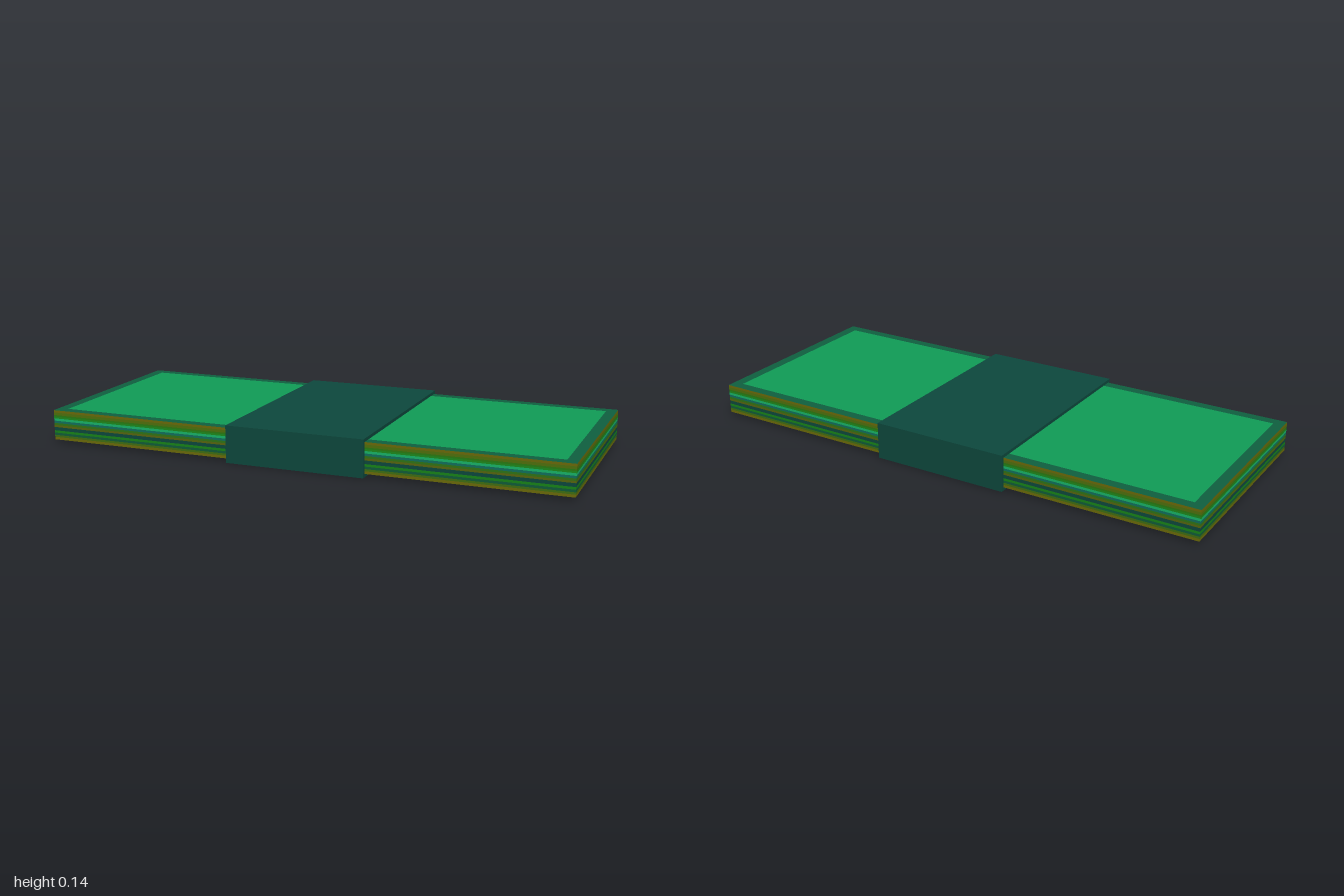
import * as THREE from 'three';

const mat = (color) => new THREE.MeshStandardMaterial({ color });

function add(group, name, geometry, material) {
  const mesh = new THREE.Mesh(geometry, material);
  mesh.name = name;
  group.add(mesh);
  return mesh;
}

// Four upright walls of a rectangular block, without top and bottom
function walls(width, height, depth) {
  const g = new THREE.CylinderGeometry(Math.SQRT1_2, Math.SQRT1_2, height, 4, 1, true, Math.PI / 4).toNonIndexed();
  g.scale(width, 1, depth);
  g.computeVertexNormals();
  return g;
}

function rectangle(PathType, w, d) {
  return new PathType().moveTo(-w, -d).lineTo(w, -d).lineTo(w, d).lineTo(-w, d).closePath();
}

export function createModel() {
  const model = new THREE.Group();
  model.name = 'banknoteBundle';

  const halfW = 1, halfD = 0.4, bottom = 0.013, top = 0.128;
  const panelW = 0.96, panelD = 0.362;

  // Paper edges, striped from the top down: [lower height, color]
  const stripes = [
    [0.119, 0x6b6a08], [0.109, 0x50700c], [0.103, 0x2a7a10], [0.096, 0x1d8a1c],
    [0.087, 0x18b468], [0.078, 0x10705c], [0.070, 0x2f7414], [0.062, 0x56660e],
    [0.049, 0x0d483d], [0.040, 0x178418], [0.031, 0x0f5c38], [0.023, 0x3f6e10],
    [bottom, 0x6b6a08],
  ];
  const stack = new THREE.Group();
  stack.name = 'paperEdges';
  let upper = top;
  for (const [lower, color] of stripes) {
    const stripe = add(stack, 'edgeStripe', walls(2 * halfW, upper - lower, 2 * halfD), mat(color));
    stripe.position.y = (upper + lower) / 2;
    upper = lower;
  }
  model.add(stack);

  // Printed faces: a dark border around a bright panel, above and below
  const border = rectangle(THREE.Shape, halfW, halfD);
  border.holes.push(rectangle(THREE.Path, panelW, panelD));
  const borderGeometry = new THREE.ShapeGeometry(border);
  const panelGeometry = new THREE.PlaneGeometry(2 * panelW, 2 * panelD);
  const borderMat = mat(0x0f6040), panelMat = mat(0x109c56);
  for (const [side, y, turn] of [['top', top, -1], ['bottom', bottom, 1]]) {
    const face = new THREE.Group();
    face.name = side + 'Face';
    add(face, side + 'Border', borderGeometry, borderMat);
    add(face, side + 'Panel', panelGeometry, panelMat);
    face.rotation.x = turn * Math.PI / 2;
    face.position.y = y;
    model.add(face);
  }

  // Paper band around the middle
  const band = add(model, 'band', new THREE.BoxGeometry(0.53, 0.14, 0.824), mat(0x0d483d));
  band.position.y = 0.07;

  return model;
}
